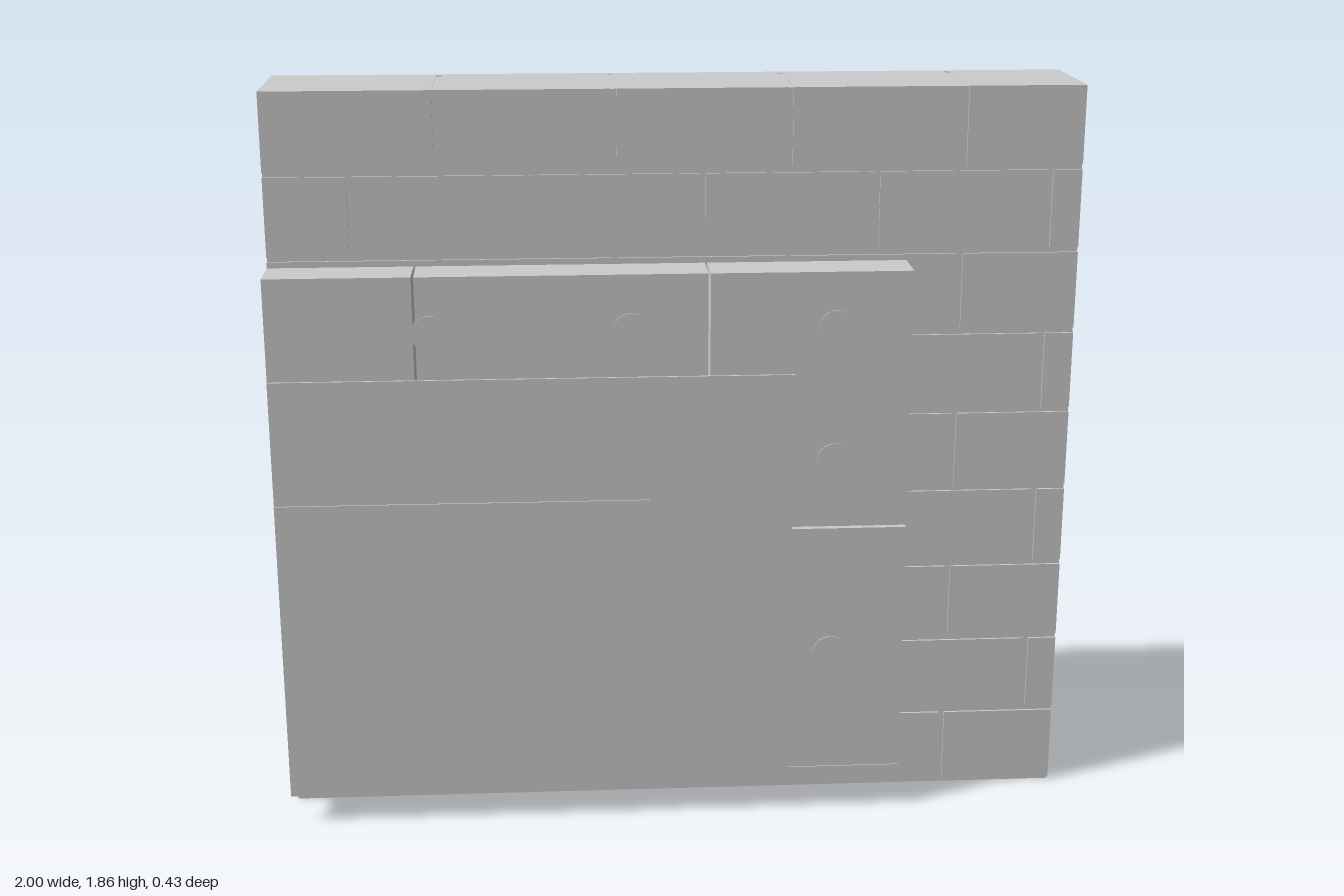
import * as THREE from 'three';

const material = new THREE.MeshStandardMaterial({ color: 0xcccccc, flatShading: true });

// Box given by its limits on each axis
function block(parent, name, [x0, x1], [y0, y1], [z0, z1]) {
  const mesh = new THREE.Mesh(new THREE.BoxGeometry(x1 - x0, y1 - y0, z1 - z0), material);
  mesh.position.set((x0 + x1) / 2, (y0 + y1) / 2, (z0 + z1) / 2);
  mesh.name = name;
  parent.add(mesh);
  return mesh;
}

function group(parent, name) {
  const g = new THREE.Group();
  g.name = name;
  parent.add(g);
  return g;
}

export function createModel() {
  const model = new THREE.Group();
  model.name = 'insulatedWall';
  const wallFront = 0.082, plasterFace = -0.187, wallBack = -0.214;
  const panelFront = 0.204, joint = 0.014, recess = 0.006;

  // Brick courses in running bond
  const bricks = group(model, 'bricks');
  const rows = 9, rowPitch = 0.2068, brickPitch = 0.4285;
  for (let r = 0; r < rows; r++) {
    const y0 = 0.01 + r * rowPitch;
    const y1 = y0 + rowPitch - joint + 0.001;
    const firstJoint = r % 2 ? -0.793 : -0.581;
    let left = -1;
    for (let x = firstJoint; left < 1; x += brickPitch) {
      const right = x < 1 ? x - joint / 2 : 1;
      block(bricks, 'brick', [left, right], [y0, y1], [plasterFace, wallFront]);
      left = x < 1 ? x + joint / 2 : 1;
    }
  }

  // Recessed mortar filling the joints, and plaster on the inner face
  const top = 0.01 + rows * rowPitch - joint + 0.001;
  block(model, 'mortar', [-0.9995, 0.9995], [0, top - 0.001], [plasterFace + recess, wallFront - recess]);
  block(model, 'innerPlaster', [-1, 1], [0.002, top], [wallBack, plasterFace]);

  // Insulation boards with staggered seams
  const boards = group(model, 'insulationBoards');
  const gap = 0.003;
  const boardRows = [
    { y: [0.115, 0.775 - gap], seams: [-1, -0.285, 0.57] },
    { y: [0.775 + gap, 1.43], seams: [-1, -0.642, 0.072, 0.57] },
  ];
  for (const { y, seams } of boardRows) {
    for (let i = 0; i < seams.length - 1; i++) {
      const x0 = seams[i] + (i ? gap : 0);
      const x1 = seams[i + 1] - (i < seams.length - 2 ? gap : 0);
      block(boards, 'insulationBoard', [x0, x1], y, [wallFront, panelFront]);
    }
  }

  // Starter track under the boards with a drip lip
  const track = group(model, 'starterTrack');
  block(track, 'trackShelf', [-1, 0.57], [0.11, 0.115], [wallFront, panelFront]);
  block(track, 'dripLip', [-1, 0.57], [0.075, 0.117], [panelFront - 0.001, panelFront + 0.003]);

  // Round anchor plates, slightly proud of the boards
  const anchors = group(model, 'anchors');
  const plate = new THREE.CylinderGeometry(0.045, 0.045, 0.004, 32).rotateX(Math.PI / 2);
  for (const [x, y] of [[-0.605, 1.29], [-0.118, 1.29], [0.385, 1.29], [0.385, 0.95], [0.385, 0.435]]) {
    const anchor = new THREE.Mesh(plate, material);
    anchor.name = 'anchorPlate';
    anchor.position.set(x, y, panelFront + 0.001);
    anchors.add(anchor);
  }

  // Stepped render layers
  block(model, 'baseCoat', [-1, 0.283], [0.075, 1.175], [panelFront, 0.21]);
  block(model, 'finishCoat', [-1, -0.075], [0.075, 0.86], [0.21, 0.214]);

  return model;
}
